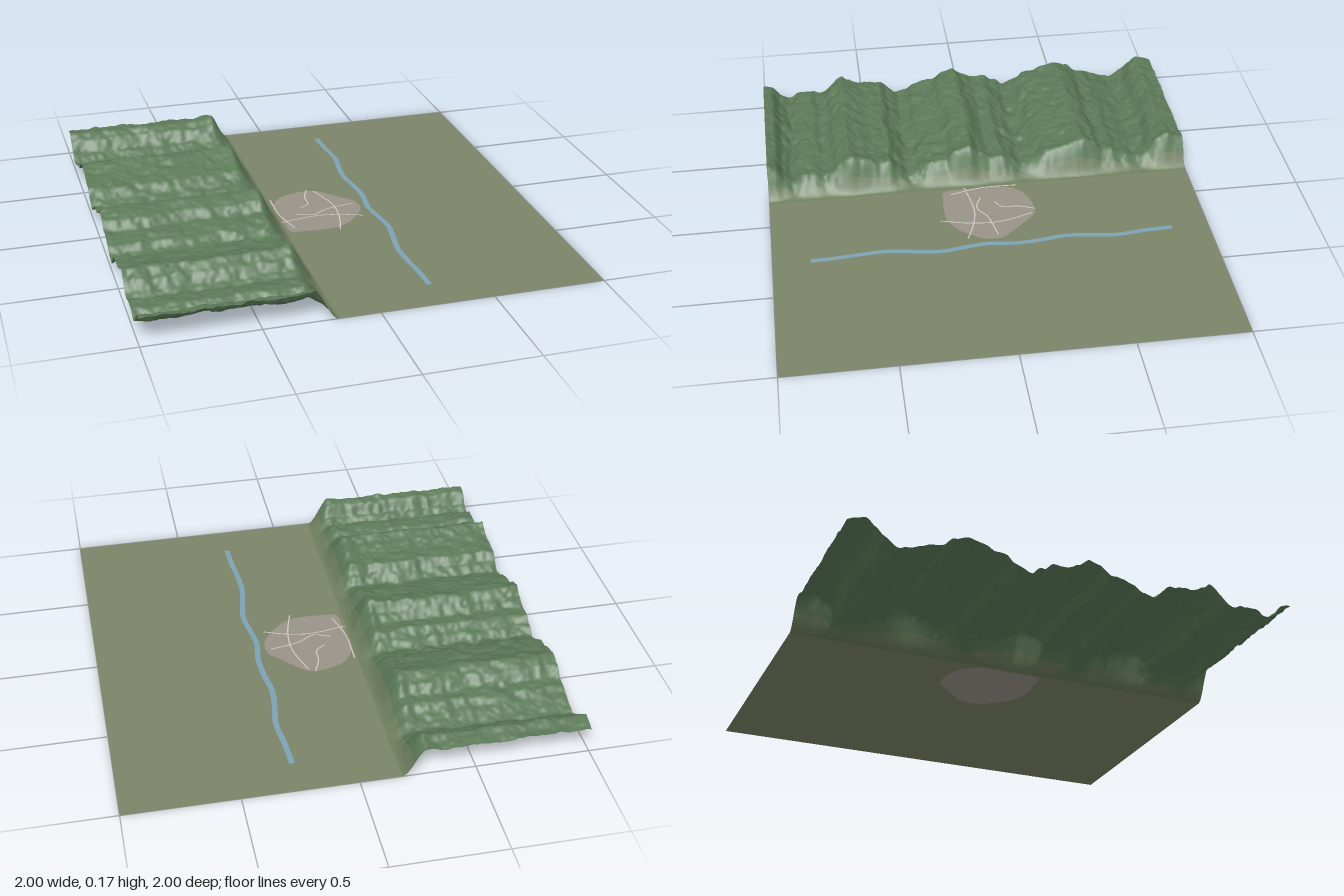
import * as THREE from 'three';

const EDGE = -0.18; // x where the hills meet the plain

// Ridge heights across the range, as [z, height]
const ridges = [
  [-1, 0.12], [-0.96, 0.125], [-0.92, 0.137], [-0.88, 0.115], [-0.83, 0.06], [-0.78, 0.033],
  [-0.7, 0.062], [-0.65, 0.085], [-0.6, 0.088], [-0.55, 0.128], [-0.5, 0.15], [-0.42, 0.122],
  [-0.38, 0.112], [-0.32, 0.1], [-0.26, 0.06], [-0.21, 0.04], [-0.16, 0.07], [-0.12, 0.095],
  [-0.06, 0.092], [-0.02, 0.115], [0.03, 0.155], [0.1, 0.135], [0.15, 0.095], [0.2, 0.092],
  [0.25, 0.08], [0.29, 0.05], [0.33, 0.038], [0.38, 0.07], [0.42, 0.107], [0.5, 0.112],
  [0.56, 0.13], [0.61, 0.15], [0.66, 0.12], [0.7, 0.08], [0.73, 0.065], [0.77, 0.08],
  [0.83, 0.08], [0.88, 0.045], [0.92, 0.07], [0.96, 0.12], [1, 0.132],
];

function ridgeHeight(z) {
  const c = THREE.MathUtils.clamp(z, -1, 1);
  let i = 0;
  while (i < ridges.length - 2 && ridges[i + 1][0] < c) i++;
  const [z0, h0] = ridges[i], [z1, h1] = ridges[i + 1];
  return THREE.MathUtils.lerp(h0, h1, THREE.MathUtils.smoothstep(c, z0, z1) * 0.5 + (c - z0) / (z1 - z0) * 0.5);
}

// Seeded value noise in -1..1
function hash(i, j) {
  const s = Math.sin(i * 127.1 + j * 311.7) * 43758.5453;
  return (s - Math.floor(s)) * 2 - 1;
}
function noise(x, y) {
  const i = Math.floor(x), j = Math.floor(y);
  const u = THREE.MathUtils.smoothstep(x - i, 0, 1), v = THREE.MathUtils.smoothstep(y - j, 0, 1);
  const lerp = THREE.MathUtils.lerp;
  return lerp(lerp(hash(i, j), hash(i + 1, j), u), lerp(hash(i, j + 1), hash(i + 1, j + 1), u), v);
}

// Long ridges with a little erosion, dropping to the plain at the edge
function height(x, z) {
  const wobble = 0.012 * noise(x * 14, z * 9) + 0.006 * noise(x * 35 + 9, z * 30);
  const rough = 0.006 * noise(x * 22 + 5, z * 26) + 0.003 * noise(x * 50, z * 55);
  const lip = 1 + 0.08 * Math.exp(-(((x + 0.28) / 0.035) ** 2));
  const fall = 1 - THREE.MathUtils.smoothstep(x, -0.285, EDGE);
  return Math.max(0, (ridgeHeight(z + wobble) + rough) * lip * fall);
}

// One strip of the height field, with normals taken from its slope
function hillStrip(x0, x1, nx, nz) {
  const geo = new THREE.PlaneGeometry(x1 - x0, 2, nx, nz).rotateX(-Math.PI / 2);
  geo.translate((x0 + x1) / 2, 0, 0);
  const p = geo.attributes.position, n = geo.attributes.normal;
  const e = 0.005, v = new THREE.Vector3();
  for (let i = 0; i < p.count; i++) {
    const x = p.getX(i), z = p.getZ(i);
    p.setY(i, height(x, z));
    v.set(height(x - e, z) - height(x + e, z), 2 * e, height(x, z - e) - height(x, z + e)).normalize();
    n.setXYZ(i, v.x, v.y, v.z);
  }
  return geo;
}

// Flat ribbon of constant width along a smooth path of [x, z] points
function ribbon(points, width, y, segments) {
  const curve = new THREE.CatmullRomCurve3(points.map(([x, z]) => new THREE.Vector3(x, y, z)));
  const geo = new THREE.PlaneGeometry(1, 1, 1, segments);
  const p = geo.attributes.position;
  for (let i = 0; i <= segments; i++) {
    const c = curve.getPointAt(i / segments), t = curve.getTangentAt(i / segments);
    for (let s = 0; s < 2; s++) {
      const o = (s - 0.5) * width;
      p.setXYZ(i * 2 + s, c.x + t.z * o, y, c.z - t.x * o);
    }
  }
  geo.computeVertexNormals();
  return geo;
}

export function createModel() {
  const model = new THREE.Group();
  const add = (name, geometry, color) => {
    const material = new THREE.MeshStandardMaterial({ color, side: THREE.DoubleSide });
    const mesh = new THREE.Mesh(geometry, material);
    mesh.name = name;
    model.add(mesh);
    return mesh;
  };

  // Hills
  add('mountainRidges', hillStrip(-1, -0.235, 110, 300), 0x5c7a58);
  add('foothills', hillStrip(-0.235, EDGE, 14, 300), 0x6c7d5c);

  // Town outline, drawn in x and -z so it lies flat when turned
  const outline = [
    [-0.165, -0.1], [-0.12, -0.18], [-0.03, -0.22], [0.06, -0.22], [0.12, -0.165], [0.17, -0.11],
    [0.22, -0.05], [0.22, 0.03], [0.17, 0.11], [0.12, 0.16], [0.06, 0.19], [-0.1, 0.19],
    [-0.155, 0.18], [-0.165, 0.1], [-0.165, 0],
  ].map(([x, z]) => new THREE.Vector3(x, -z, 0));
  const town = new THREE.CatmullRomCurve3(outline, true).getPoints(60).slice(0, 60)
    .map((v) => new THREE.Vector2(v.x, v.y));

  // Plain, with the town let into it
  const plain = new THREE.Shape([[EDGE, -1], [1, -1], [1, 1], [EDGE, 1]].map(([x, y]) => new THREE.Vector2(x, y)));
  plain.holes.push(new THREE.Path(town));
  add('plain', new THREE.ShapeGeometry(plain).rotateX(-Math.PI / 2), 0x7c8568);
  add('townGround', new THREE.ShapeGeometry(new THREE.Shape(town)).rotateX(-Math.PI / 2), 0x9a9388);

  // River
  add('river', ribbon([
    [0.255, -0.83], [0.262, -0.7], [0.275, -0.56], [0.26, -0.45], [0.25, -0.33], [0.265, -0.22],
    [0.272, -0.1], [0.258, 0.03], [0.27, 0.13], [0.285, 0.24], [0.27, 0.36], [0.252, 0.48],
    [0.257, 0.6], [0.268, 0.72], [0.272, 0.83],
  ], 0.025, 0.002, 90), 0x7ba3b5);

  // Roads
  const roads = [
    [[-0.165, -0.17], [-0.165, 0], [-0.13, 0.15]],
    [[0.03, -0.23], [0, -0.15], [-0.005, -0.08], [-0.05, -0.045]],
    [[0.06, -0.21], [0.105, -0.05], [0.1, 0.08], [0.065, 0.22]],
    [[-0.175, 0.08], [0, 0.055], [0.1, 0.07], [0.21, 0.11]],
    [[-0.09, 0.015], [-0.01, 0.04], [0.06, 0], [0.2, -0.03]],
  ];
  roads.forEach((path, i) => add(`road${i + 1}`, ribbon(path, 0.006, 0.002 + i * 0.0002, 24), 0xcfc8c2));

  // Small greens
  for (const [x, z] of [[-0.09, 0.03], [0.07, 0.12]]) {
    add('park', new THREE.CircleGeometry(0.012, 12).rotateX(-Math.PI / 2), 0x86a070).position.set(x, 0.0015, z);
  }
  return model;
}
